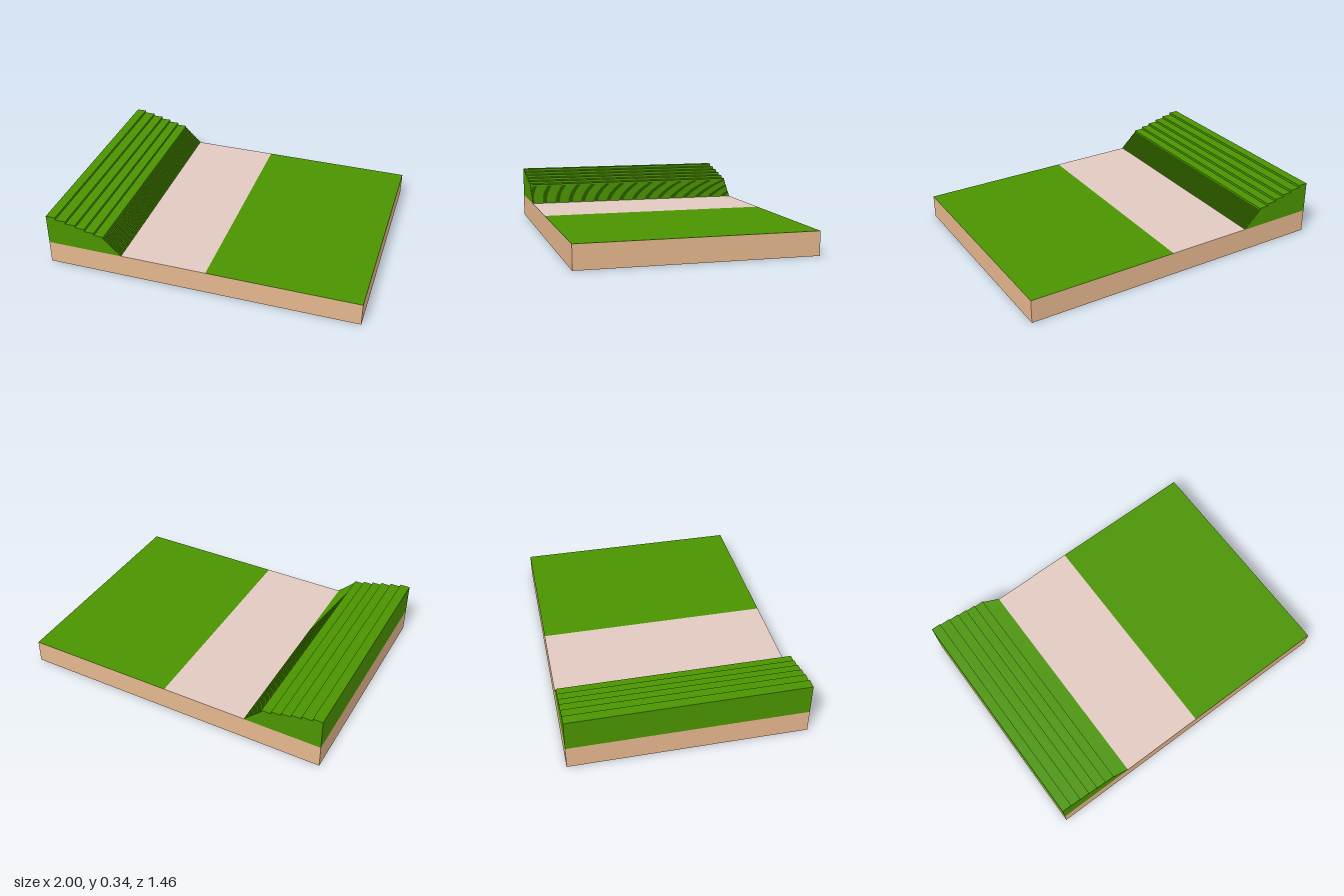
import * as THREE from 'three';

const DEPTH = 1.46;
const BASE_TOP = 0.147;
const COVER_TOP = 0.148;

function material(name, color) {
  const m = new THREE.MeshStandardMaterial({ color });
  m.name = name;
  return m;
}

export function createModel() {
  const model = new THREE.Group();
  model.name = 'terracedLandscape';

  const grass = material('grass green', 0x4b9400);
  const earth = material('earth tan', 0xe4b68d);
  const path = material('path stone', 0xe1c9c1);
  const underside = material('underside blue', 0x00608f);

  // Full-depth slab between two x and two y positions
  function slab(name, mat, x0, x1, y0, y1) {
    const mesh = new THREE.Mesh(new THREE.BoxGeometry(x1 - x0, y1 - y0, DEPTH), mat);
    mesh.position.set((x0 + x1) / 2, (y0 + y1) / 2, 0);
    mesh.name = name;
    model.add(mesh);
  }

  // Ground block with a blue bottom face, and its thin flat coverings
  slab('groundBlock', [earth, earth, earth, underside, earth, earth], -1, 1, 0, BASE_TOP);
  slab('pathStrip', path, -0.51, 0.04, BASE_TOP, COVER_TOP);
  slab('lawn', grass, 0.04, 1, BASE_TOP, COVER_TOP);

  // Stepped hill profile: broad terraces, then a steep bank of fine steps
  const profile = new THREE.Shape();
  profile.moveTo(-1, BASE_TOP);
  const edges = [-0.938, -0.87, -0.806, -0.745, -0.682, -0.62];
  let x = -1;
  edges.forEach((edge, i) => {
    const y = 0.345 - i * 0.0155;
    profile.lineTo(x, y);
    profile.lineTo(edge, y);
    x = edge;
  });
  const fineSteps = 17;
  const bankTop = 0.253;
  for (let i = 0; i < fineSteps; i++) {
    const y = bankTop - (i * (bankTop - COVER_TOP)) / fineSteps;
    profile.lineTo(x, y);
    x = -0.62 + ((i + 1) * 0.11) / fineSteps;
    profile.lineTo(x, y);
  }
  profile.lineTo(x, BASE_TOP);
  profile.closePath();

  const hillGeometry = new THREE.ExtrudeGeometry(profile, { depth: DEPTH, bevelEnabled: false });
  hillGeometry.translate(0, 0, -DEPTH / 2);
  const hill = new THREE.Mesh(hillGeometry, grass);
  hill.name = 'terracedHill';
  model.add(hill);

  return model;
}
